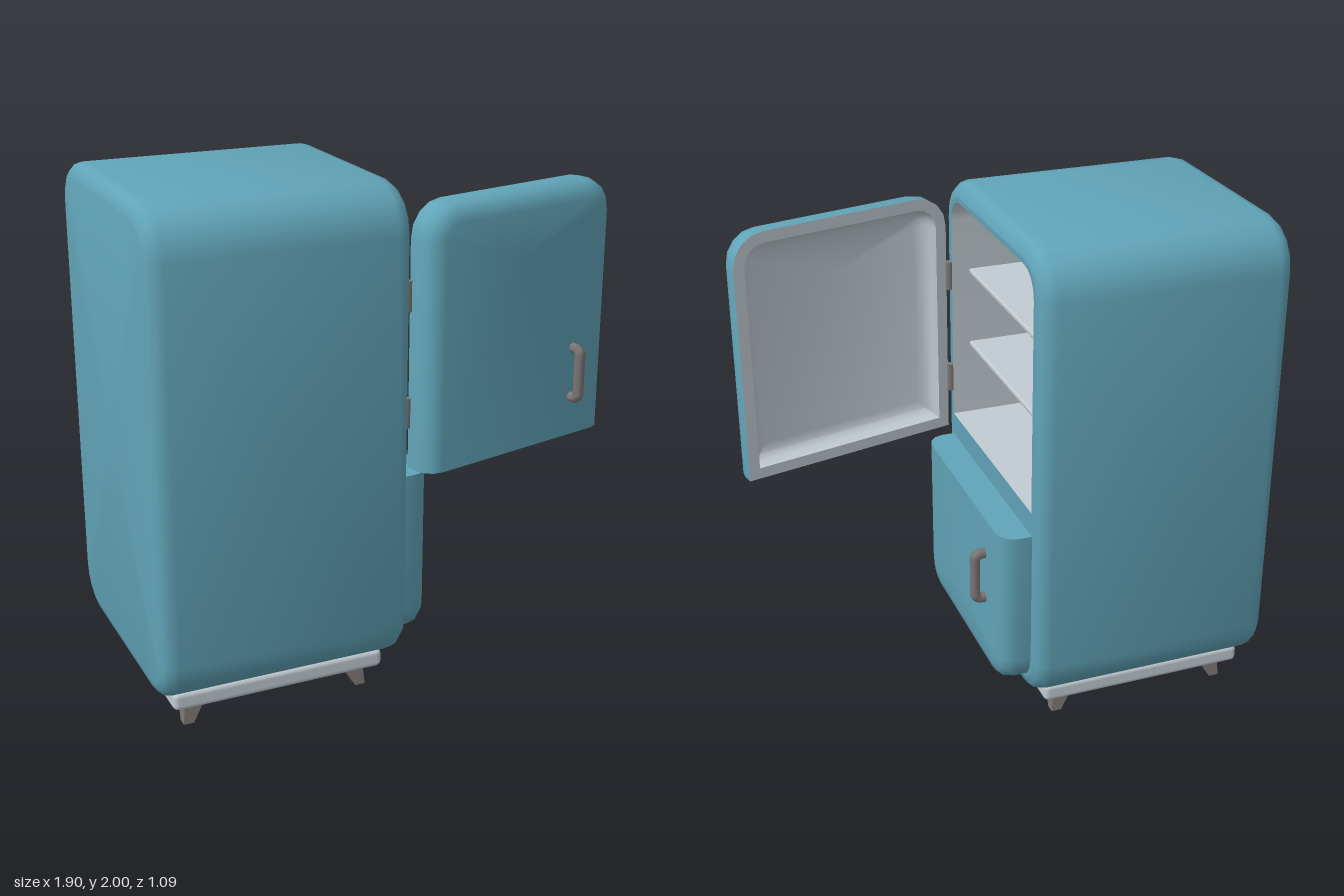
import * as THREE from 'three';
import { toCreasedNormals } from 'three/addons/utils/BufferGeometryUtils.js';
import { RoundedBoxGeometry } from 'three/addons/geometries/RoundedBoxGeometry.js';

const enamel = new THREE.MeshStandardMaterial({ color: 0x61a4b8 });
enamel.name = 'teal enamel';
const liner = new THREE.MeshStandardMaterial({ color: 0xc2ccd2 });
liner.name = 'pale grey liner';
const metal = new THREE.MeshStandardMaterial({ color: 0x7b7674 });
metal.name = 'grey metal';

// Counter-clockwise rounded rectangle; rb / rt are the bottom and top corner radii
function outline(u0, u1, y0, y1, rb, rt) {
  const pts = [];
  const corners = [[u1, y0, -1, 1, rb, -90], [u1, y1, -1, -1, rt, 0], [u0, y1, 1, -1, rt, 90], [u0, y0, 1, 1, rb, 180]];
  for (const [u, y, su, sy, r, start] of corners) {
    const n = r > 0 ? 4 : 0;
    for (let i = 0; i <= n; i++) {
      const a = THREE.MathUtils.degToRad(start + i * 22.5);
      pts.push(new THREE.Vector2(u + su * r + r * Math.cos(a), y + sy * r + r * Math.sin(a)));
    }
  }
  return pts;
}

// Skin through outlines, rings = [points, z]; optional flat caps on the ends
function loft(rings, capStart, capEnd) {
  const pos = [];
  const tri = (...v) => v.forEach((p) => pos.push(p.x, p.y, p.z));
  const loops = rings.map(([pts, z]) => pts.map((p) => new THREE.Vector3(p.x, p.y, z)));
  const n = loops[0].length;
  const centre = (l) => l.reduce((s, p) => s.add(p), new THREE.Vector3()).divideScalar(n);
  const first = loops[0], last = loops[loops.length - 1];
  const c0 = centre(first), c1 = centre(last);
  for (let i = 0; i < n; i++) {
    const j = (i + 1) % n;
    for (let k = 0; k + 1 < loops.length; k++) {
      const a = loops[k], b = loops[k + 1];
      tri(a[i], a[j], b[j]);
      tri(a[i], b[j], b[i]);
    }
    if (capStart) tri(first[j], first[i], c0);
    if (capEnd) tri(last[i], last[j], c1);
  }
  const g = new THREE.BufferGeometry();
  g.setAttribute('position', new THREE.Float32BufferAttribute(pos, 3));
  return toCreasedNormals(g, 0.7);
}

function add(parent, name, geometry, material, x = 0, y = 0, z = 0) {
  const m = new THREE.Mesh(geometry, material);
  m.name = name;
  m.position.set(x, y, z);
  parent.add(m);
  return m;
}

// Quarter-round edge steps: [inset, height below the top]
const bevel = (b) => [0, 1, 2, 3].map((i) => {
  const a = (i * Math.PI) / 6;
  return [b * (1 - Math.cos(a)), b * (1 - Math.sin(a))];
});

const DOOR_W = 0.91, DOOR_T = 0.12, DOOR_R = 0.13;

// Door with three rounded edges and one square edge (bottom or top)
function makeDoor(name, y0, y1, squareBottom, handleY, hollow) {
  const g = new THREE.Group();
  g.name = name;
  const ring = (i) => outline(i, DOOR_W - i, squareBottom ? y0 : y0 + i, squareBottom ? y1 - i : y1,
    squareBottom ? 0 : DOOR_R - i, squareBottom ? DOOR_R - i : 0);
  const shell = [[ring(0), 0], ...bevel(0.07).map(([i, d]) => [ring(i), DOOR_T - d])];
  add(g, name + 'Shell', loft(shell, !hollow, true), enamel);
  if (hollow) {
    // Pale rim and dished inner panel
    const inner = (i) => outline(i, DOOR_W - i, y0 + i, y1 - i, 0, Math.max(DOOR_R - i, 0.02));
    add(g, name + 'Liner', loft([[inner(0.11), 0.07], [inner(0.075), 0.06], [inner(0.055), 0.035],
      [inner(0.045), 0], [inner(0), 0]], true, false), liner);
  }
  // Bent bar handle
  const path = new THREE.CurvePath();
  const h = [[-0.1, 0.1], [-0.1, 0.145], [-0.085, 0.16], [0.085, 0.16], [0.1, 0.145], [0.1, 0.1]]
    .map(([y, z]) => new THREE.Vector3(0, y, z));
  for (let i = 0; i + 1 < h.length; i++) path.add(new THREE.LineCurve3(h[i], h[i + 1]));
  add(g, name + 'Handle', new THREE.TubeGeometry(path, 40, 0.021, 8), metal, 0.72, handleY, 0);
  return g;
}

export function createModel() {
  const model = new THREE.Group();
  model.name = 'refrigerator';

  // Cabinet is modelled facing local +z and turned to open towards +x
  const cabinet = new THREE.Group();
  cabinet.name = 'cabinet';
  cabinet.rotation.y = Math.PI / 2;
  model.add(cabinet);
  const back = -0.95, front = 0.03, edge = 0.06;
  const body = (i) => outline(-0.515 + i, 0.55 - i, 0.14 + i, 2 - i, 0.18 - i, 0.18 - i);
  const steps = bevel(edge);
  add(cabinet, 'cabinetShell', loft([
    ...[...steps].reverse().map(([i, d]) => [body(i), back + d]),
    ...steps.map(([i, d]) => [body(i), front - d]),
  ], true, false), enamel);

  // Front frame around the opening
  const opening = outline(-0.43, 0.465, 0.975, 1.92, 0, 0.1);
  const frame = new THREE.Shape(body(edge));
  frame.holes.push(new THREE.Path(opening));
  add(cabinet, 'frontFrame', new THREE.ShapeGeometry(frame), enamel, 0, 0, front);

  // Inner compartment and shelves
  add(cabinet, 'compartment', loft([[opening, front], [opening, -0.87]], false, true), liner);
  for (const y of [1.285, 1.6]) {
    add(cabinet, 'shelf', new RoundedBoxGeometry(0.89, 0.022, 0.82, 2, 0.008), liner, 0.0175, y, -0.45);
  }

  // Doors: the upper one stands open, the lower one is shut
  const upper = makeDoor('upperDoor', 0.92, 1.925, true, 1.178, true);
  upper.position.set(0.05, 0, 0.44);
  upper.rotation.y = THREE.MathUtils.degToRad(13);
  const lower = makeDoor('lowerDoor', 0.2, 0.88, false, 0.628, false);
  lower.position.set(0.03, 0, 0.435);
  lower.rotation.y = Math.PI / 2;
  model.add(upper, lower);

  // Hinges
  for (const y of [1.14, 1.585]) {
    add(model, 'hinge', new THREE.CylinderGeometry(0.017, 0.017, 0.115, 10), metal, 0.037, y, 0.445);
  }

  // Plinth
  add(model, 'plinth', new RoundedBoxGeometry(0.85, 0.075, 0.885, 2, 0.022), liner, -0.465, 0.1275, -0.0175);

  // Splayed tapering legs
  for (const sx of [-1, 1]) for (const sz of [-1, 1]) {
    const geo = new THREE.BoxGeometry(0.085, 0.095, 0.085);
    const p = geo.attributes.position;
    for (let i = 0; i < p.count; i++) {
      if (p.getY(i) < 0) {
        p.setX(i, p.getX(i) * 0.47 + sx * 0.031);
        p.setZ(i, p.getZ(i) * 0.47 + sz * 0.031);
      }
    }
    geo.computeVertexNormals();
    add(model, 'leg', geo, metal, -0.465 + sx * 0.323, 0.0475, -0.0175 + sz * 0.34);
  }
  return model;
}
